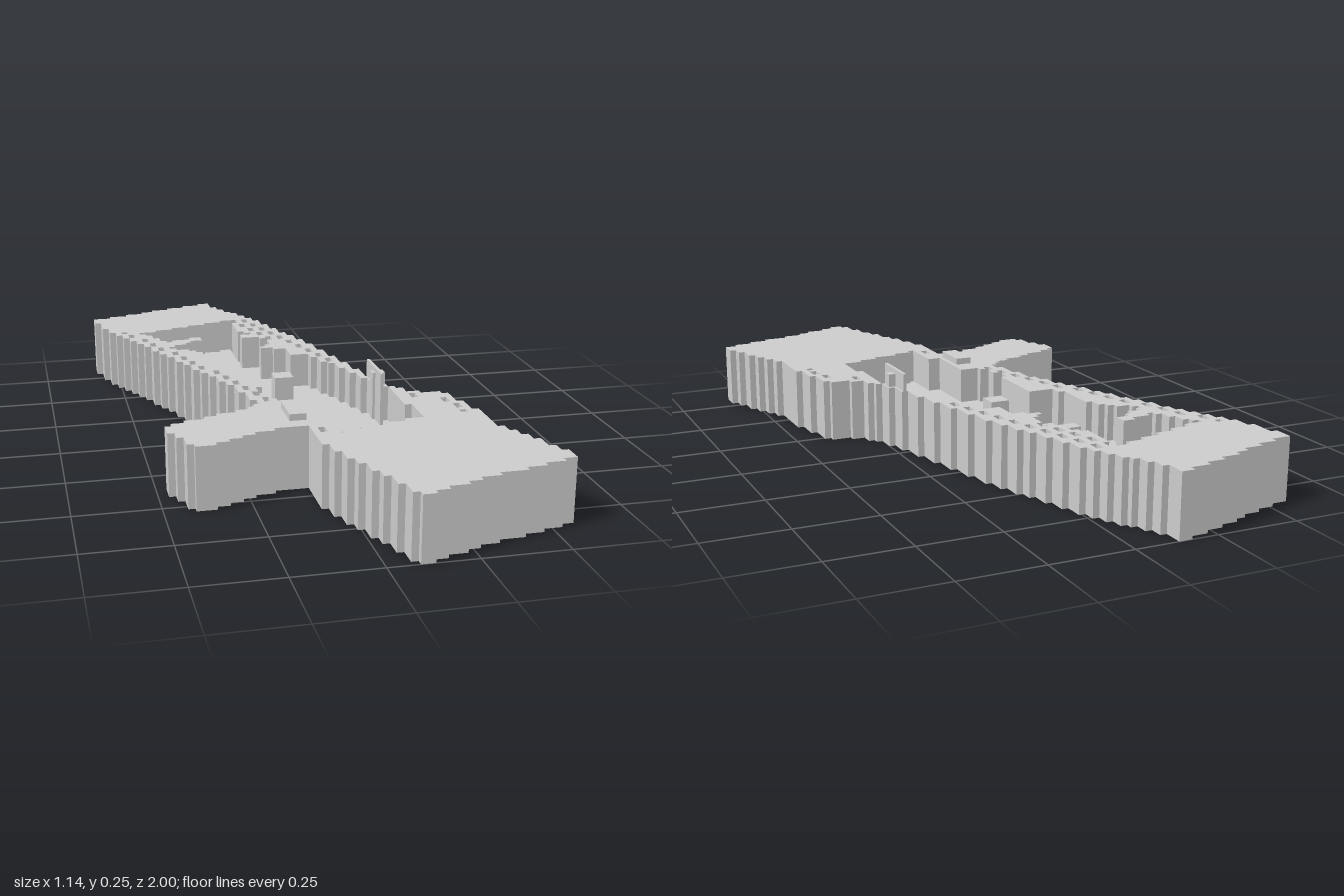
import * as THREE from 'three';

const CELL = 0.02, NX = 57, NZ = 100, X0 = -0.57, Z0 = -1;
const TOP = 0.19, FLOOR = 0.08;

// Plan outlines as [x, z] corners
const OUTER = [
  [-0.57, -0.85], [-0.14, -1.0], [-0.11, -0.91], [-0.02, -0.77], [0.125, -0.37], [0.215, 0],
  [0.25, 0.12], [0.3, 0.2], [0.4, 0.23], [0.44, 0.4], [0.46, 0.55], [0.57, 0.8], [0.57, 0.84],
  [0.3, 0.92], [0.14, 0.985], [0.085, 1.0], [0.03, 0.84], [-0.07, 0.58], [-0.07, 0.44],
  [-0.155, 0.44], [-0.4, 0.55], [-0.435, 0.48], [-0.48, 0.36], [-0.235, 0.26], [-0.17, 0.22],
  [-0.21, 0.05], [-0.35, -0.29], [-0.45, -0.53], [-0.525, -0.66],
];
const COURT = [
  [-0.09, -0.74], [-0.42, -0.63], [-0.35, -0.5], [-0.235, -0.54], [-0.225, -0.51], [-0.33, -0.45],
  [-0.35, -0.42], [-0.29, -0.4], [-0.235, -0.32], [-0.235, -0.24], [-0.21, -0.15], [-0.13, -0.15],
  [-0.125, -0.03], [-0.145, 0.1], [-0.115, 0.2], [-0.055, 0.21], [-0.055, 0.37], [-0.015, 0.38],
  [-0.015, 0.52], [0.27, 0.43], [0.28, 0.35], [0.245, 0.29], [0.25, 0.17], [0.2, 0.05],
  [0.09, -0.25], [0.03, -0.25], [0.03, -0.33], [-0.05, -0.37], [-0.01, -0.42], [-0.02, -0.49],
  [-0.07, -0.49], [-0.1, -0.54], [-0.045, -0.55], [-0.1, -0.6], [-0.08, -0.67],
];

function inside(poly, x, z) {
  let hit = false;
  for (let i = 0, j = poly.length - 1; i < poly.length; j = i++) {
    const [ax, az] = poly[i], [bx, bz] = poly[j];
    if ((az > z) !== (bz > z) && x < ((bx - ax) * (z - az)) / (bz - az) + ax) hit = !hit;
  }
  return hit;
}
const cx = (i) => X0 + (i + 0.5) * CELL;
const cz = (j) => Z0 + (j + 0.5) * CELL;
const inOuter = (i, j) => inside(OUTER, cx(i), cz(j));
const inCourt = (i, j) => inside(COURT, cx(i), cz(j));

// First and last solid column of each row
const rowEnds = Array.from({ length: NZ }, (_, j) => {
  let a = NX, b = -1;
  for (let i = 0; i < NX; i++) if (inOuter(i, j)) { a = Math.min(a, i); b = i; }
  return [a, b];
});

// Narrow shafts in the long side walls, one cell wide and two deep
function isShaft(i, j) {
  if (j % 3 === 0) return false;
  const z = cz(j), g = j - (j % 3);
  const left = rowEnds[Math.min(g + 2, NZ - 1)][0], right = rowEnds[g][1];
  if (z > -0.66 && z < 0.2 && i === left + 1) return true;
  if (z > -0.76 && z < 0.42 && i === right - 1) return true;
  if (z > -0.74 && z < -0.45 && i === right - 3) return true;
  return z > 0.43 && z < 0.53 && i === 26;
}
const isWall = (i, j) => inOuter(i, j) && !inCourt(i, j) && !isShaft(i, j);

// Raises every cell of a mask into a solid, with sides only along its boundary
function cellSolid(mask, y0, y1) {
  const pos = [];
  const quad = (a, b, c, d) => pos.push(...a, ...b, ...c, ...a, ...c, ...d);
  for (let j = 0; j < NZ; j++) for (let i = 0; i < NX; i++) {
    if (!mask(i, j)) continue;
    const x = X0 + i * CELL, X = x + CELL, z = Z0 + j * CELL, Z = z + CELL;
    quad([x, y1, Z], [X, y1, Z], [X, y1, z], [x, y1, z]);
    quad([x, y0, z], [X, y0, z], [X, y0, Z], [x, y0, Z]);
    if (!mask(i, j + 1)) quad([x, y0, Z], [X, y0, Z], [X, y1, Z], [x, y1, Z]);
    if (!mask(i, j - 1)) quad([X, y0, z], [x, y0, z], [x, y1, z], [X, y1, z]);
    if (!mask(i + 1, j)) quad([X, y0, Z], [X, y0, z], [X, y1, z], [X, y1, Z]);
    if (!mask(i - 1, j)) quad([x, y0, z], [x, y0, Z], [x, y1, Z], [x, y1, z]);
  }
  const geo = new THREE.BufferGeometry();
  geo.setAttribute('position', new THREE.Float32BufferAttribute(pos, 3));
  geo.computeVertexNormals();
  return geo;
}

export function createModel() {
  const group = new THREE.Group();
  const mat = new THREE.MeshStandardMaterial({ color: 0xcccccc, flatShading: true });
  const add = (name, geo) => {
    const mesh = new THREE.Mesh(geo, mat);
    mesh.name = name;
    group.add(mesh);
    return mesh;
  };
  // Box given by its lower and upper corners
  const box = (name, [x0, y0, z0], [x1, y1, z1]) =>
    add(name, new THREE.BoxGeometry(x1 - x0, y1 - y0, z1 - z0))
      .position.set((x0 + x1) / 2, (y0 + y1) / 2, (z0 + z1) / 2);

  // Thick stepped walls and the raised court floor
  add('walls', cellSolid(isWall, 0, TOP));
  add('courtFloor', cellSolid((i, j) => inOuter(i, j) && inCourt(i, j), FLOOR - 0.002, FLOOR));

  // Loose blocks and the standing panel
  box('centreBlock', [-0.06, FLOOR, -0.14], [0, 0.17, -0.08]);
  box('wallCap', [-0.115, FLOOR, 0.27], [-0.065, 0.21, 0.39]);
  box('sidePanel', [0.214, FLOOR, 0.02], [0.224, 0.245, 0.18]);
  box('panelPost', [0.206, FLOOR, 0.09], [0.245, 0.23, 0.12]);
  return group;
}
